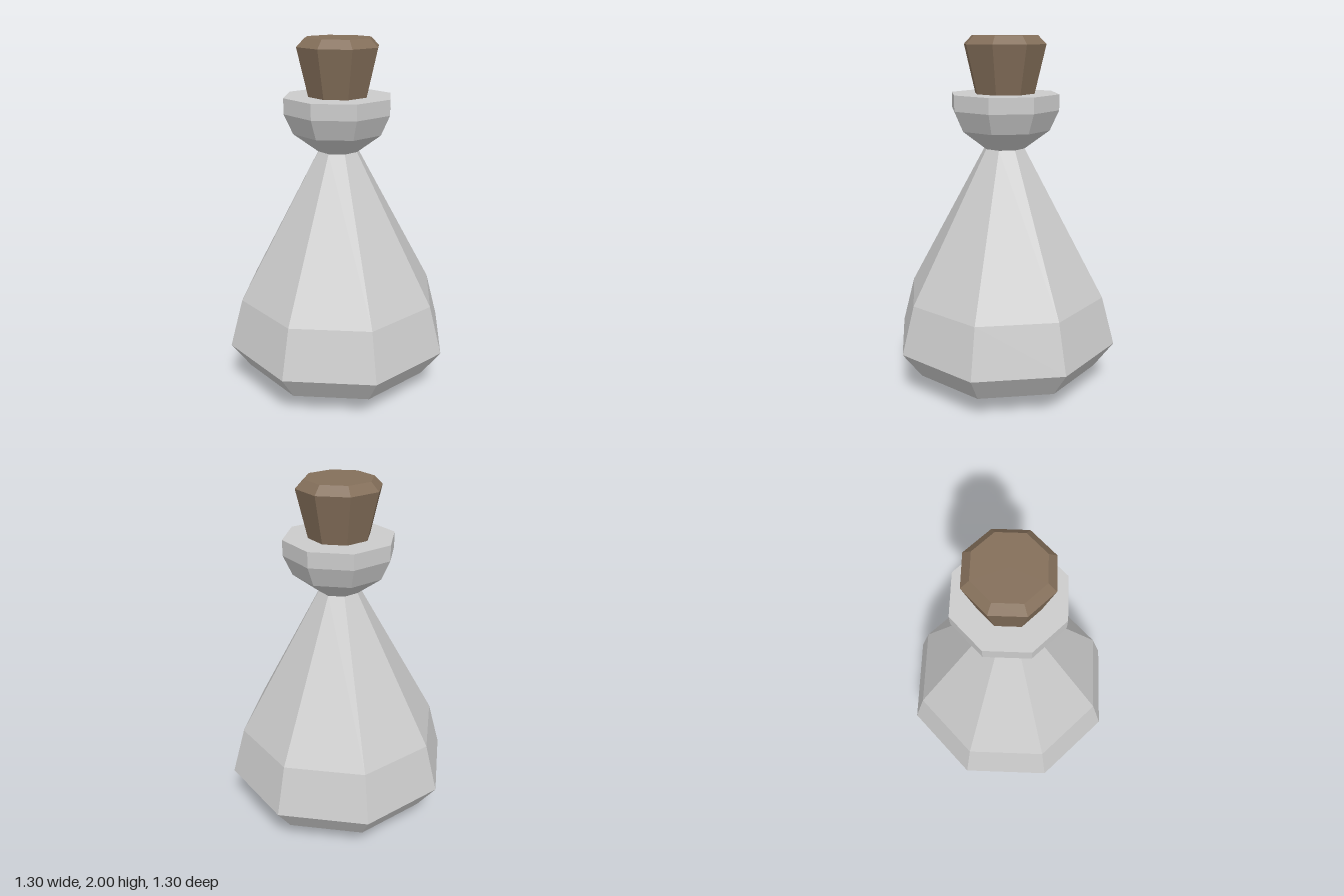
import * as THREE from 'three';

const SIDES = 8;

// Faceted solid turned around the y axis from [radius, height] points, bottom to top
function turned(name, profile, color) {
  const points = profile.map(([r, y]) => new THREE.Vector2(r, y));
  const material = new THREE.MeshStandardMaterial({ color, flatShading: true });
  const mesh = new THREE.Mesh(new THREE.LatheGeometry(points, SIDES), material);
  mesh.name = name;
  return mesh;
}

export function createModel() {
  const model = new THREE.Group();
  model.name = 'corkedBottle';

  // Wide belly tapering up to a narrow neck
  model.add(turned('bottleBody', [
    [0, 0], [0.26, 0], [0.54, 0.13], [0.65, 0.285], [0.575, 0.56], [0.115, 1.395],
  ], 0xcccccc));

  // Flared mouth with a flat rim
  model.add(turned('bottleMouth', [
    [0.115, 1.395], [0.255, 1.5], [0.305, 1.61], [0.305, 1.695], [0, 1.695],
  ], 0xcccccc));

  // Tapered stopper with a bevelled top, its foot sunk just below the rim
  model.add(turned('corkStopper', [
    [0, 1.66], [0.16, 1.66], [0.23, 1.955], [0.185, 2], [0, 2],
  ], 0x846f5a));

  return model;
}
